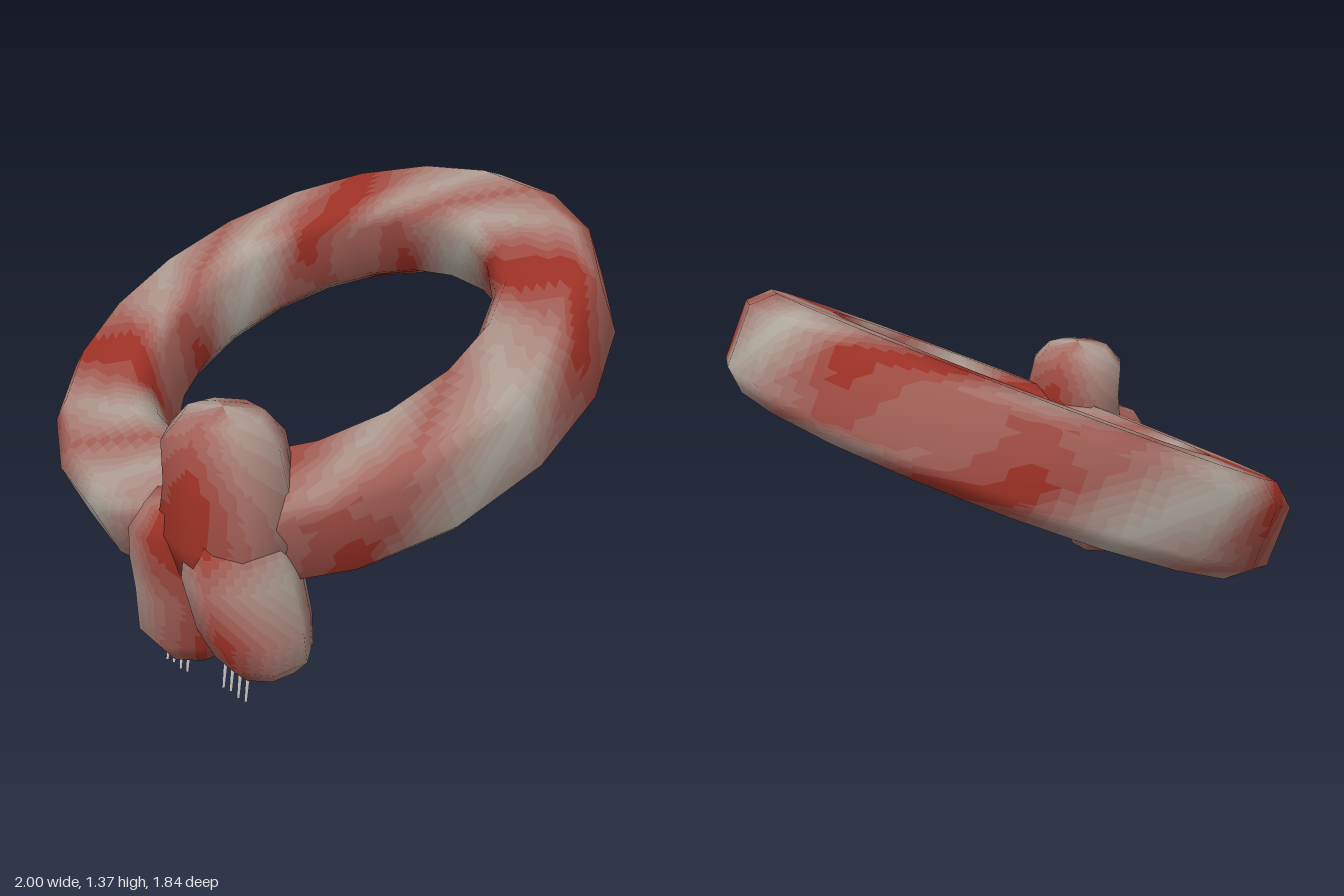
import * as THREE from 'three';

const RED = new THREE.Color(0x9a3025), GREY = new THREE.Color(0xb0a99e);
const TONES = 10, SPLIT = 6, SIDES = 8;

// Skins a loop of cross-sections and sorts its small triangles into colour bands.
// rows[i][j] = { p: Vector3, t: 0 (red) .. 1 (grey) }
function stripedSkin(name, rows, closed) {
  const n = rows.length, flat = rows.flat(), index = [];
  for (let i = 0; i < (closed ? n : n - 1); i++) {
    for (let j = 0; j < SIDES; j++) {
      const k = (j + 1) % SIDES, r = ((i + 1) % n) * SIDES, q = i * SIDES;
      index.push(q + j, q + k, r + j, q + k, r + k, r + j);
    }
  }
  // smooth normals of the coarse skin
  const coarse = new THREE.BufferGeometry().setFromPoints(flat.map(c => c.p));
  coarse.setIndex(index);
  coarse.computeVertexNormals();
  const normals = flat.map((_, i) => new THREE.Vector3().fromBufferAttribute(coarse.attributes.normal, i));

  const bands = Array.from({ length: TONES }, () => ({ pos: [], nor: [] }));
  const mix = (vs, u, v) => new THREE.Vector3().addScaledVector(vs[0], 1 - u - v)
    .addScaledVector(vs[1], u).addScaledVector(vs[2], v);
  for (let f = 0; f < index.length; f += 3) {
    const ids = index.slice(f, f + 3);
    const ps = ids.map(i => flat[i].p), ns = ids.map(i => normals[i]), ts = ids.map(i => flat[i].t);
    const emit = corners => {
      const u = corners.reduce((s, c) => s + c[0], 0) / 3 / SPLIT;
      const v = corners.reduce((s, c) => s + c[1], 0) / 3 / SPLIT;
      const t = ts[0] * (1 - u - v) + ts[1] * u + ts[2] * v;
      const band = bands[Math.min(TONES - 1, Math.floor(t * TONES))];
      for (const [a, b] of corners) {
        band.pos.push(...mix(ps, a / SPLIT, b / SPLIT));
        band.nor.push(...mix(ns, a / SPLIT, b / SPLIT).normalize());
      }
    };
    for (let a = 0; a < SPLIT; a++) {
      for (let b = 0; a + b < SPLIT; b++) {
        emit([[a, b], [a + 1, b], [a, b + 1]]);
        if (a + b < SPLIT - 1) emit([[a + 1, b], [a + 1, b + 1], [a, b + 1]]);
      }
    }
  }
  const group = new THREE.Group();
  group.name = name;
  bands.forEach((band, i) => {
    if (!band.pos.length) return;
    const g = new THREE.BufferGeometry();
    g.setAttribute('position', new THREE.Float32BufferAttribute(band.pos, 3));
    g.setAttribute('normal', new THREE.Float32BufferAttribute(band.nor, 3));
    const color = RED.clone().lerp(GREY, i / (TONES - 1));
    const mesh = new THREE.Mesh(g, new THREE.MeshStandardMaterial({ color }));
    mesh.name = `${name}Stripe${i + 1}`;
    group.add(mesh);
  });
  return group;
}

const clamp = t => THREE.MathUtils.clamp(t, 0, 0.999);
const boxy = c => Math.sign(c) * Math.abs(c) ** 0.55 * 1.045;

// Tilted ring with a rounded-box section, slightly wider at the sides
function scarfLoop() {
  const rows = [], count = 20, tilt = 0.46, axis = new THREE.Vector3(1, 0, 0);
  for (let i = 0; i < count; i++) {
    const a = i / count * Math.PI * 2, row = [];
    const radius = 0.803 + 0.015 * Math.cos(2 * a) + 0.008 * Math.cos(a);
    const width = 0.182 - 0.008 * Math.cos(a);
    for (let j = 0; j < SIDES; j++) {
      const v = (j + 0.5) / SIDES * Math.PI * 2;
      const r = radius + width * boxy(Math.cos(v));
      const p = new THREE.Vector3(r * Math.cos(a), 0.167 * boxy(Math.sin(v)), r * Math.sin(a));
      p.applyAxisAngle(axis, tilt);
      p.y += 0.82;
      const stripes = 0.36 * Math.cos(4 * (a - 0.12)) + 0.42 * Math.cos(8 * (a - 0.14) + 2 * v);
      row.push({ p, t: clamp(0.34 + stripes) });
    }
    rows.push(row);
  }
  return stripedSkin('scarfLoop', rows, true);
}

// Soft lobe through sections [x, y, z, halfWidth, halfDepth, grey], top to bottom
function lobe(name, sections, phase) {
  const rows = sections.map(([x, y, z, w, d, grey]) => Array.from({ length: SIDES }, (_, j) => {
    const v = (j + 0.5) / SIDES * Math.PI * 2;
    return {
      p: new THREE.Vector3(x + w * Math.cos(v), y, z + d * Math.sin(v)),
      t: clamp(grey + 0.3 * Math.cos(2 * v + phase)),
    };
  }));
  return stripedSkin(name, rows, false);
}

// Row of thin threads under a tail
function fringe(name, x, y, z, length) {
  const group = new THREE.Group();
  group.name = name;
  const geometry = new THREE.CylinderGeometry(0.008, 0.005, length, 5);
  const material = new THREE.MeshStandardMaterial({ color: 0xcccccc });
  for (let i = 0; i < 4; i++) {
    const thread = new THREE.Mesh(geometry, material);
    thread.name = 'fringeThread';
    thread.position.set(x + i * 0.036, y + (i % 2) * 0.006, z - i * 0.003);
    thread.rotation.x = -0.12;
    group.add(thread);
  }
  return group;
}

export function createModel() {
  const model = new THREE.Group();
  model.name = 'scarf';
  model.add(scarfLoop());

  // Strand wrapping over the loop
  model.add(lobe('knot', [
    [0.44, 0.91, 0.69, 0, 0, 0.6],
    [0.44, 0.89, 0.69, 0.13, 0.12, 0.55],
    [0.44, 0.82, 0.69, 0.2, 0.18, 0.4],
    [0.465, 0.7, 0.69, 0.215, 0.19, 0.25],
    [0.475, 0.55, 0.71, 0.225, 0.2, 0.15],
    [0.5, 0.42, 0.71, 0.16, 0.16, 0.3],
    [0.5, 0.38, 0.71, 0, 0, 0.3],
  ], 0.4));

  // Tails hanging from under the knot
  model.add(lobe('rightTail', [
    [0.37, 0.65, 0.73, 0, 0, 0.1],
    [0.36, 0.61, 0.74, 0.14, 0.16, 0.1],
    [0.34, 0.53, 0.745, 0.165, 0.2, 0.1],
    [0.32, 0.42, 0.75, 0.17, 0.185, 0.25],
    [0.31, 0.3, 0.74, 0.175, 0.175, 0.4],
    [0.3, 0.15, 0.73, 0.17, 0.175, 0.35],
    [0.3, 0.07, 0.72, 0.11, 0.12, 0.35],
    [0.3, 0.05, 0.72, 0, 0, 0.3],
  ], 2.2));
  model.add(lobe('leftTail', [
    [0.53, 0.65, 0.72, 0, 0, 0.2],
    [0.54, 0.58, 0.72, 0.13, 0.15, 0.2],
    [0.57, 0.45, 0.72, 0.155, 0.185, 0.6],
    [0.615, 0.3, 0.71, 0.165, 0.175, 0.3],
    [0.63, 0.2, 0.69, 0.15, 0.15, 0.4],
    [0.63, 0.14, 0.68, 0.09, 0.1, 0.4],
    [0.63, 0.12, 0.68, 0, 0, 0.3],
  ], 0.8));

  model.add(fringe('rightFringe', 0.23, 0.05, 0.79, 0.1));
  model.add(fringe('leftFringe', 0.53, 0.11, 0.765, 0.13));
  return model;
}
